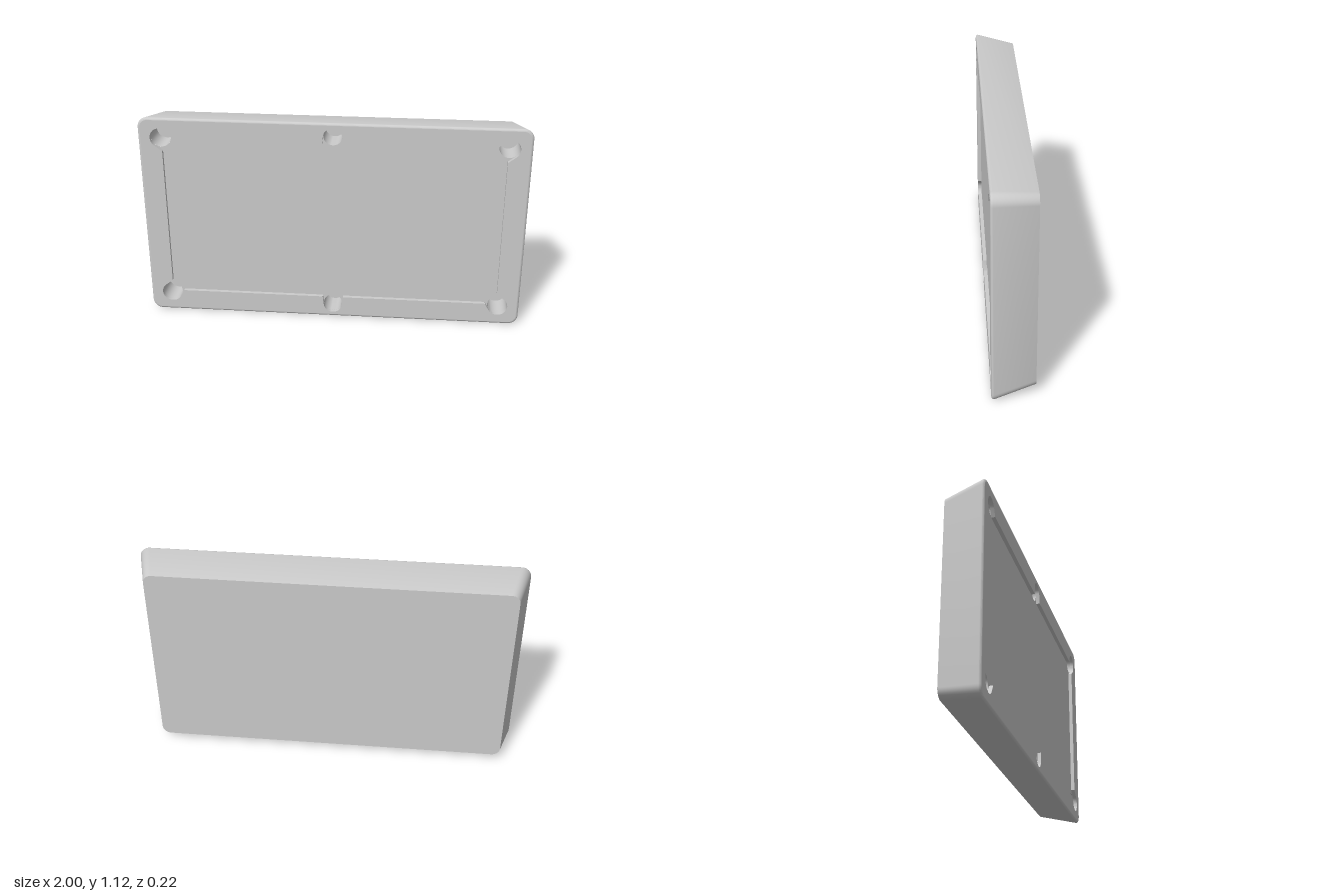
import * as THREE from 'three';
import { toCreasedNormals } from 'three/addons/utils/BufferGeometryUtils.js';

const FRONT = 0.108, BED = 0.088, POCKET_FLOOR = -0.04, MID_Y = 0.56;
const material = new THREE.MeshStandardMaterial({ color: 0xcccccc });

function add(group, name, geometry) {
  const mesh = new THREE.Mesh(geometry, material);
  mesh.name = name;
  group.add(mesh);
}

// Points along an arc, ends included
function arc(cx, cy, r, from, to, steps) {
  const pts = [];
  for (let i = 0; i <= steps; i++) {
    const t = from + (to - from) * i / steps;
    pts.push(new THREE.Vector2(cx + r * Math.cos(t), cy + r * Math.sin(t)));
  }
  return pts;
}

// Counter-clockwise rounded rectangle around the origin
function roundedRect(w, h, r) {
  const corners = [[1, 1], [-1, 1], [-1, -1], [1, -1]];
  return corners.flatMap(([sx, sy], i) =>
    arc(sx * (w - r), sy * (h - r), r, i * Math.PI / 2, (i + 1) * Math.PI / 2, 8));
}

// Skin between closed rings [points, z]; faces outward when z rises, inward when it falls
function loft(rings) {
  const n = rings[0][0].length, pos = [], index = [];
  for (const [pts, z] of rings) for (const p of pts) pos.push(p.x, p.y, z);
  for (let k = 0; k < rings.length - 1; k++) {
    for (let i = 0; i < n; i++) {
      const a = k * n + i, b = k * n + (i + 1) % n;
      index.push(a, b, b + n, a, b + n, a + n);
    }
  }
  const g = new THREE.BufferGeometry();
  g.setAttribute('position', new THREE.Float32BufferAttribute(pos, 3));
  g.setIndex(index);
  return toCreasedNormals(g, 0.6);
}

function flat(outline, z, hole) {
  const shape = new THREE.Shape(outline);
  if (hole) shape.holes.push(new THREE.Path(hole));
  return new THREE.ShapeGeometry(shape).translate(0, 0, z);
}

// Pockets counter-clockwise from bottom left: centre, radius, mouth entry and exit points
const corner = (sx, sy) => {
  const onLong = [sx * 0.82, sy * 0.44], onShort = [sx * 0.88, sy * 0.38];
  const mouth = sx * sy < 0 ? [onLong, onShort] : [onShort, onLong];
  return { c: [sx * 0.887, sy * 0.452], r: 0.053, mouth };
};
const side = (sy) => ({
  c: [0, sy * 0.485], r: 0.049, mouth: [[sy * 0.055, sy * 0.44], [-sy * 0.055, sy * 0.44]],
});
const pockets = [corner(-1, -1), side(-1), corner(1, -1), corner(1, 1), side(1), corner(-1, 1)];

// Playfield outline, passing round the outer or inner half of each pocket
function playfield(outer) {
  return pockets.flatMap(({ c: [cx, cy], r, mouth: [m0, m1] }) => {
    const angle = (m) => Math.atan2(m[1] - cy, m[0] - cx);
    const spread = (m) => Math.acos(r / Math.hypot(m[0] - cx, m[1] - cy));
    const from = angle(m0) + spread(m0);
    let to = angle(m1) - spread(m1);
    while (to < from) to += Math.PI * 2;
    while (to > from + Math.PI * 2) to -= Math.PI * 2;
    if (!outer) to -= Math.PI * 2;
    return [new THREE.Vector2(...m0), ...arc(cx, cy, r, from, to, 20), new THREE.Vector2(...m1)];
  });
}

export function createModel() {
  const group = new THREE.Group();
  group.name = 'poolTableTop';

  // Tapered body with a softened front edge
  const back = roundedRect(0.94, 0.522, 0.045);
  const rings = [[back, -FRONT]];
  const bevel = 0.012;
  for (let i = 0; i <= 4; i++) {
    const t = i / 4 * Math.PI / 2, inset = bevel * (1 - Math.cos(t));
    rings.push([roundedRect(1 - inset, 0.56 - inset, 0.052 - inset),
      FRONT - bevel + bevel * Math.sin(t)]);
  }
  add(group, 'bodySides', loft(rings));
  add(group, 'bodyBack', flat(back, 0, null).rotateY(Math.PI).translate(0, 0, -FRONT));

  // Rail frame, cushion walls and recessed bed
  const recess = playfield(true);
  add(group, 'railFace', flat(rings[rings.length - 1][0], FRONT, recess));
  add(group, 'cushionWalls', loft([[recess, FRONT], [recess, BED]]));
  add(group, 'bed', flat(playfield(false), BED));

  // Pocket wells
  for (const { c, r } of pockets) {
    const circle = arc(c[0], c[1], r, 0, Math.PI * 2 * 31 / 32, 31);
    add(group, 'pocketWall', loft([[circle, BED], [circle, POCKET_FLOOR]]));
    add(group, 'pocketFloor', flat(circle, POCKET_FLOOR));
  }

  group.children.forEach((m) => m.geometry.translate(0, MID_Y, 0));
  return group;
}
